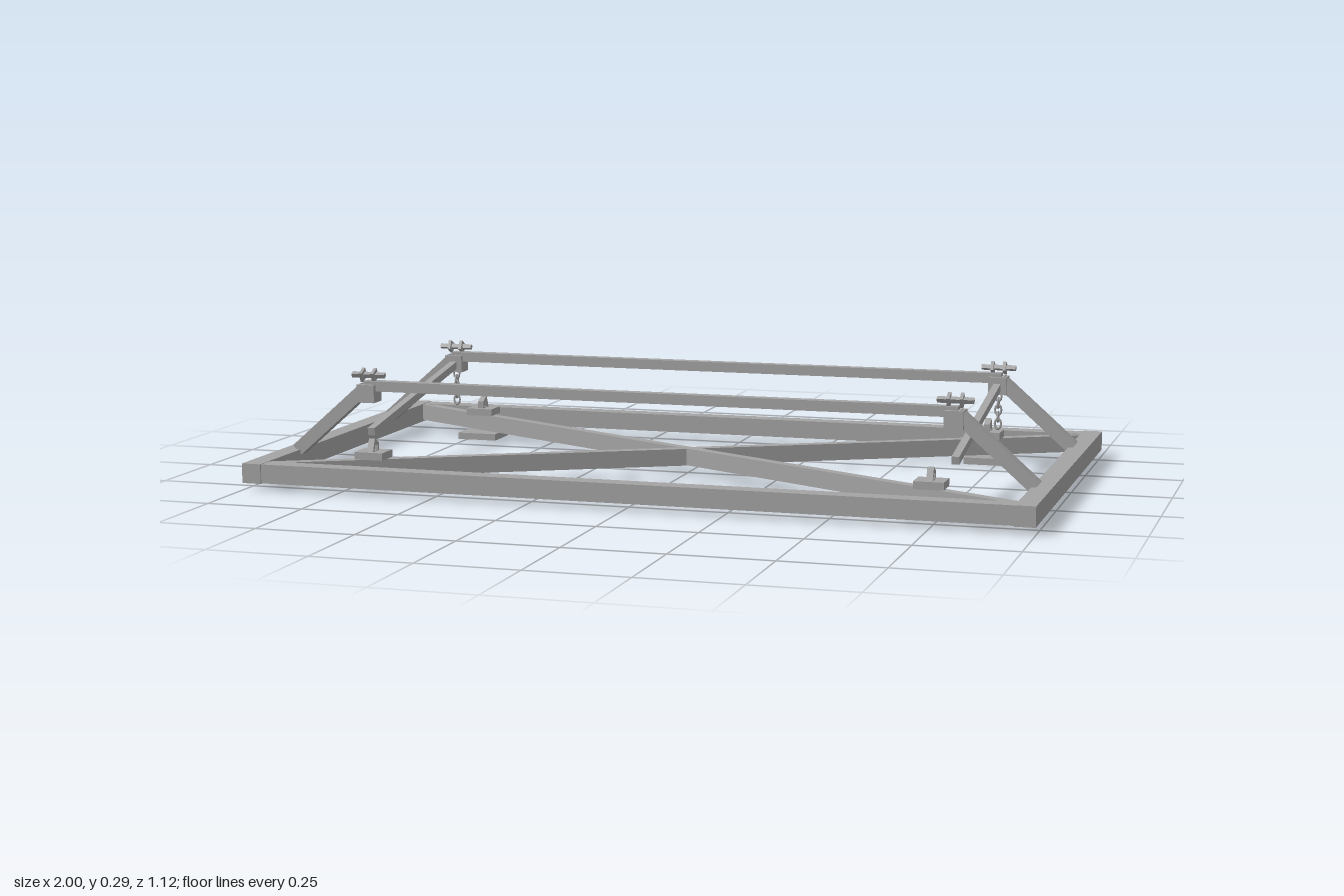
import * as THREE from 'three';

const steel = new THREE.MeshStandardMaterial({ color: 0xa3a3a3 });
steel.name = 'grey steel';

const V = (x, y, z) => new THREE.Vector3(x, y, z);

export function createModel() {
  const model = new THREE.Group();
  model.name = 'supportFrame';

  const add = (parent, name, geometry, x = 0, y = 0, z = 0) => {
    const mesh = new THREE.Mesh(geometry, steel);
    mesh.name = name;
    mesh.position.set(x, y, z);
    parent.add(mesh);
    return mesh;
  };
  const box = (parent, name, w, h, d, x, y, z) =>
    add(parent, name, new THREE.BoxGeometry(w, h, d), x, y, z);

  // Square bar between two points
  const bar = (parent, name, a, b, w, h) => {
    const mesh = box(parent, name, w, h, a.distanceTo(b), 0, 0, 0);
    mesh.position.copy(a).add(b).multiplyScalar(0.5);
    mesh.lookAt(b);
    return mesh;
  };

  // Base frame
  for (const s of [-1, 1]) {
    box(model, 'sideBeam', 0.05, 0.05, 1.125, s * 0.975, 0.043, 0);
    box(model, 'longBeam', 1.9, 0.048, 0.048, 0, 0.043, s * 0.534);
  }

  // Crossed diagonals
  bar(model, 'diagonal', V(-0.955, 0.044, -0.515), V(0.955, 0.044, 0.515), 0.028, 0.044);
  bar(model, 'diagonal', V(-0.955, 0.043, 0.515), V(0.955, 0.043, -0.515), 0.028, 0.044);

  // Bent clip on each foot: slanted outline with an opening
  const clipShape = new THREE.Shape([[-0.018, 0], [0.022, 0], [0.008, 0.034], [-0.018, 0.02]]
    .map(p => new THREE.Vector2(...p)));
  clipShape.holes.push(new THREE.Path([[-0.011, 0.003], [-0.011, 0.015], [0.004, 0.024], [0.012, 0.003]]
    .map(p => new THREE.Vector2(...p))));
  const clipGeometry = new THREE.ExtrudeGeometry(clipShape, { depth: 0.016, bevelEnabled: false });
  clipGeometry.translate(0, 0, -0.008);

  // Feet clamped on the diagonals
  for (const sx of [-1, 1]) for (const sz of [-1, 1]) {
    const foot = new THREE.Group();
    foot.name = 'foot';
    foot.position.set(sx * 0.72, 0, sz * 0.384);
    box(foot, 'footPlate', 0.11, 0.018, 0.102, 0, 0.009, 0);
    box(foot, 'clampPlate', 0.075, 0.019, 0.066, 0, 0.0755, 0);
    add(foot, 'clip', clipGeometry, 0, 0.084, 0).rotation.y = -sz * Math.PI / 2;
    model.add(foot);
  }

  // Raised rails with sloping struts, corner blocks and top clamps
  for (const z of [0.31, -0.293]) {
    box(model, 'rail', 1.54, 0.026, 0.028, 0, 0.241, z);
    for (const s of [-1, 1]) {
      bar(model, 'strut', V(s * 0.96, 0.066, z), V(s * 0.768, 0.235, z), 0.033, 0.033);
      box(model, 'cornerBlock', 0.048, 0.046, 0.05, s * 0.762, 0.222, z);

      const clamp = new THREE.Group();
      clamp.name = 'topClamp';
      clamp.position.set(s * 0.762, 0.268, z);
      clamp.rotation.x = z > 0 ? 0.5 : -0.5;
      box(clamp, 'clampBar', 0.09, 0.011, 0.012, 0, 0, 0);
      for (const t of [-1, 1]) box(clamp, 'clampFin', 0.008, 0.026, 0.027, t * 0.016, 0, 0);
      model.add(clamp);
    }
  }

  // Sloping side rods and the hanging chains at the back
  const link = new THREE.TorusGeometry(0.0085, 0.0028, 6, 10);
  link.scale(1, 1.5, 1);
  for (const s of [-1, 1]) {
    const x = s * 0.762;
    bar(model, 'sideRod', V(x, 0.119, 0.3), V(x, 0.222, -0.29), 0.019, 0.02);
    for (let i = 0; i < 5; i++) {
      const mesh = add(model, 'chainLink', link, x, 0.193 - i * 0.0185, -0.293);
      mesh.rotation.y = (i % 2) * Math.PI / 2;
    }
  }
  return model;
}
